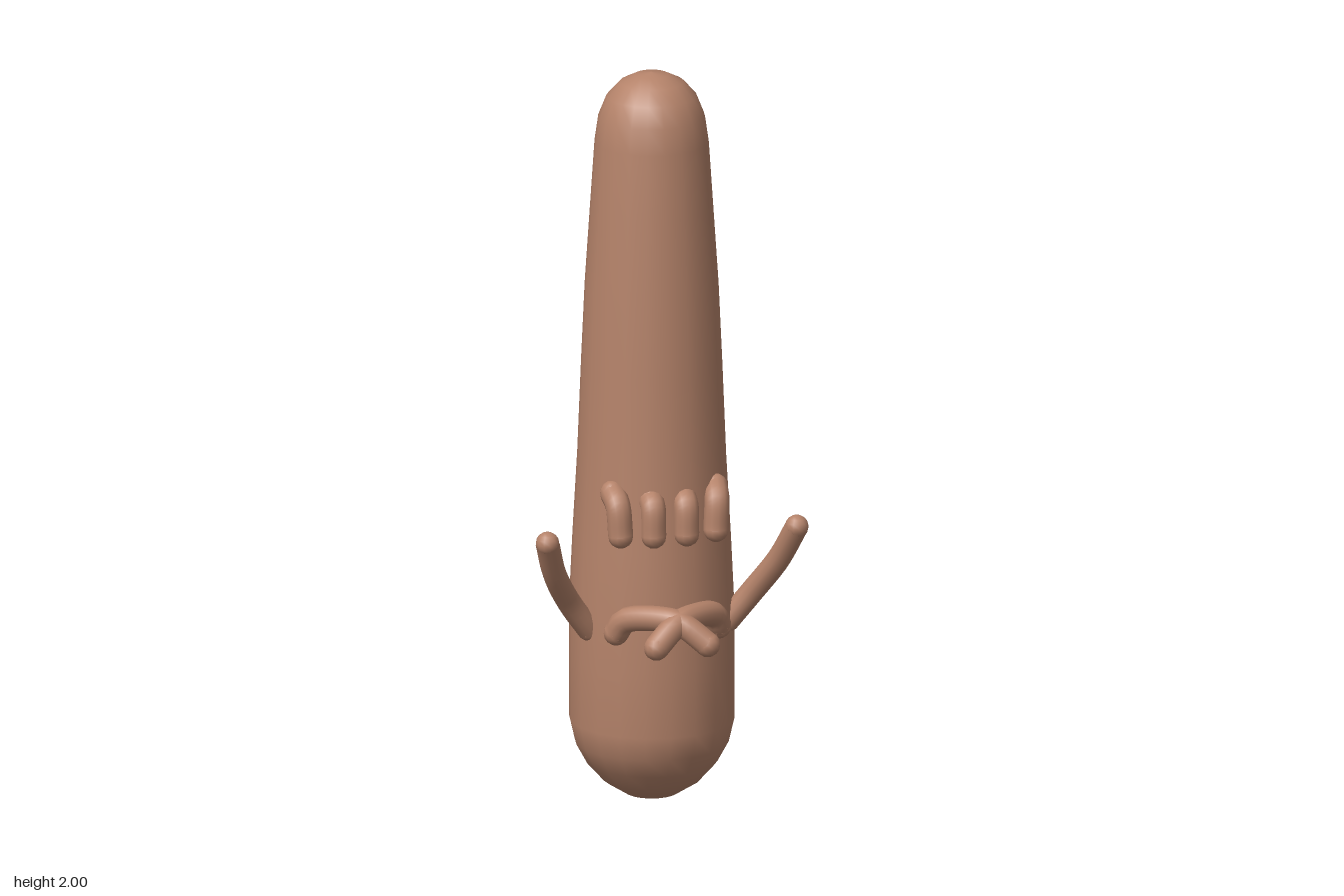
import * as THREE from 'three';
import { mergeGeometries } from 'three/addons/utils/BufferGeometryUtils.js';

const skin = new THREE.MeshStandardMaterial({ color: 0xb5836a });

// Round-ended limb along a smooth path
function limb(name, points, radius, side) {
  const path = points.map(([x, y, z]) => new THREE.Vector3(x * side, y, z));
  const curve = new THREE.CatmullRomCurve3(path);
  const parts = [new THREE.TubeGeometry(curve, 16, radius, 12)];
  for (const end of [path[0], path[path.length - 1]]) {
    parts.push(new THREE.SphereGeometry(radius, 12, 8).translate(end.x, end.y, end.z));
  }
  const mesh = new THREE.Mesh(mergeGeometries(parts), skin);
  mesh.name = name;
  return mesh;
}

export function createModel() {
  const group = new THREE.Group();
  group.name = 'figure';

  // Tapering trunk with rounded ends
  const profile = [
    [0, 0], [0.07, 0.012], [0.13, 0.05], [0.175, 0.1], [0.205, 0.155], [0.22, 0.22],
    [0.22, 0.4], [0.219, 0.55], [0.211, 0.72], [0.198, 0.95], [0.188, 1.2], [0.178, 1.42],
    [0.164, 1.63], [0.152, 1.81], [0.142, 1.88], [0.12, 1.935], [0.085, 1.973], [0.045, 1.993], [0, 2],
  ].map(([r, y]) => new THREE.Vector2(r, y));
  const body = new THREE.Mesh(new THREE.LatheGeometry(profile, 20), skin);
  body.name = 'body';
  body.position.z = -0.077;
  group.add(body);

  for (const [label, side] of [['left', 1], ['right', -1]]) {
    // Raised outer arm
    group.add(limb(`${label}OuterArm`,
      [[0.19, 0.495, 0], [0.25, 0.58, 0.03], [0.305, 0.68, 0.09], [0.34, 0.785, 0.152]], 0.032, side));
    // Inner arm crossing over the front
    group.add(limb(`${label}CrossedArm`,
      [[0.14, 0.51, 0.1], [0.12, 0.55, 0.125], [0.015, 0.567, 0.215], [-0.015, 0.555, 0.235], [-0.07, 0.51, 0.264]],
      0.034, side));
    // Row of short hanging fingers
    group.add(limb(`${label}InnerFinger`,
      [[0.045, 0.87, 0.1], [0.045, 0.855, 0.125], [0.045, 0.78, 0.132]], 0.034, side));
    group.add(limb(`${label}OuterFinger`,
      [[0.14, 0.885, 0.06], [0.135, 0.86, 0.1], [0.13, 0.78, 0.11]], 0.034, side));
  }
  return group;
}
